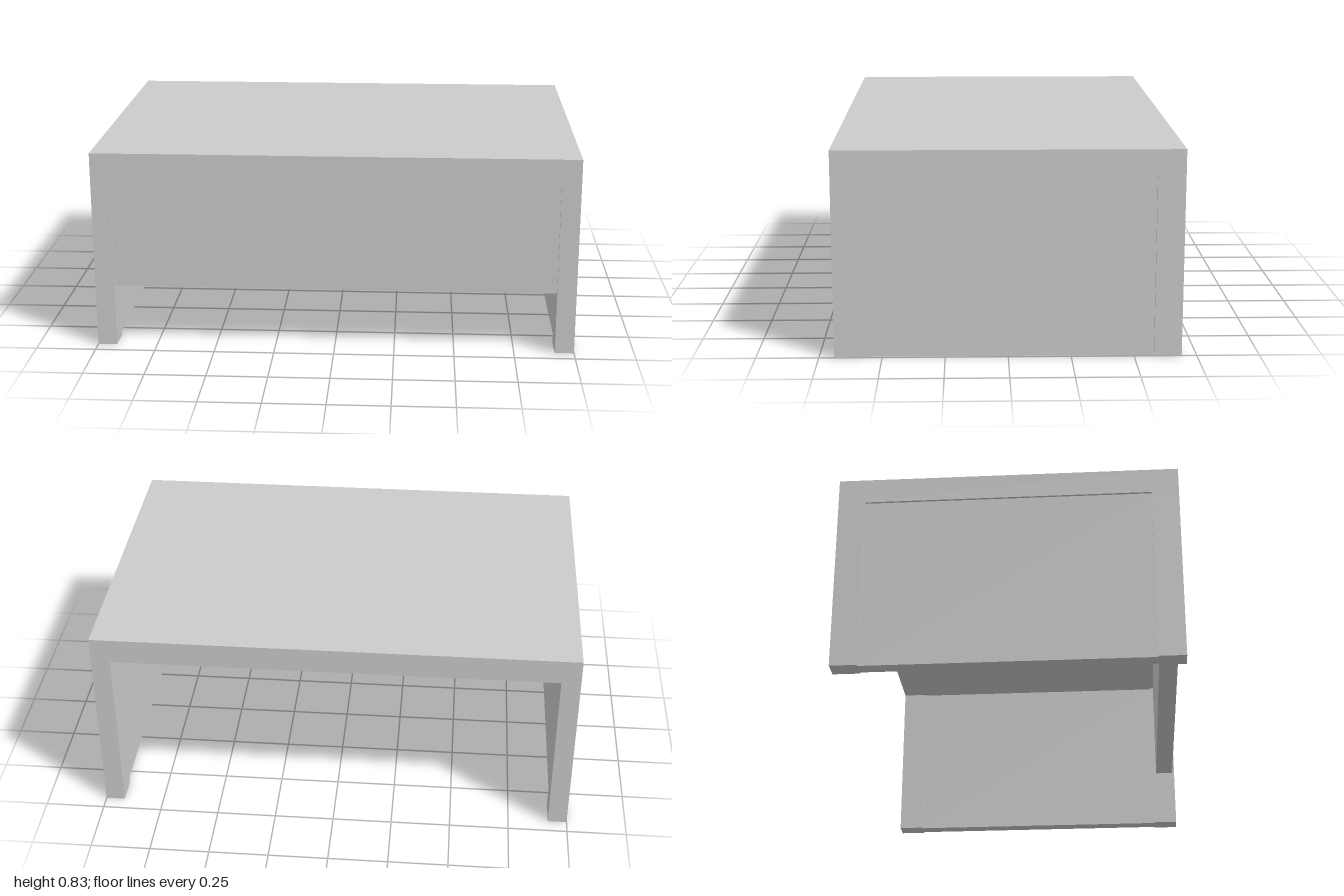
import * as THREE from 'three';

const material = new THREE.MeshStandardMaterial({ color: 0xcccccc });

// Box given by its lower and upper corners
function box(name, min, max) {
  const size = max.map((v, i) => v - min[i]);
  const mesh = new THREE.Mesh(new THREE.BoxGeometry(...size), material);
  mesh.position.set(...max.map((v, i) => (v + min[i]) / 2));
  mesh.name = name;
  return mesh;
}

export function createModel() {
  const group = new THREE.Group();
  group.name = 'desk';
  const W = 1, D = 0.69, H = 0.835;         // half width, half depth, height
  const under = 0.73;                       // underside of the top
  const legX = 0.08, legZ = 0.11, recess = 0.01;

  // Thick desk top
  group.add(box('deskTop', [-W, under, -D], [W, H, D]));

  // Legs and the slightly recessed panel between them on each side
  for (const [side, s] of [['left', 1], ['right', -1]]) {
    const slab = (name, x0, x1, z0, z1) => group.add(box(name,
      [Math.min(s * x0, s * x1), 0, z0], [Math.max(s * x0, s * x1), under, z1]));
    slab(side + 'FrontLeg', W - legX, W, D - legZ, D);
    slab(side + 'BackLeg', W - legX, W, -D, -D + legZ);
    slab(side + 'Panel', W - legX + recess, W - recess, -D + legZ, D - legZ);
  }

  // Modesty panel across the front
  group.add(box('frontPanel', [-W + legX, 0.26, D - 0.09], [W - legX, under, D - recess]));
  return group;
}
